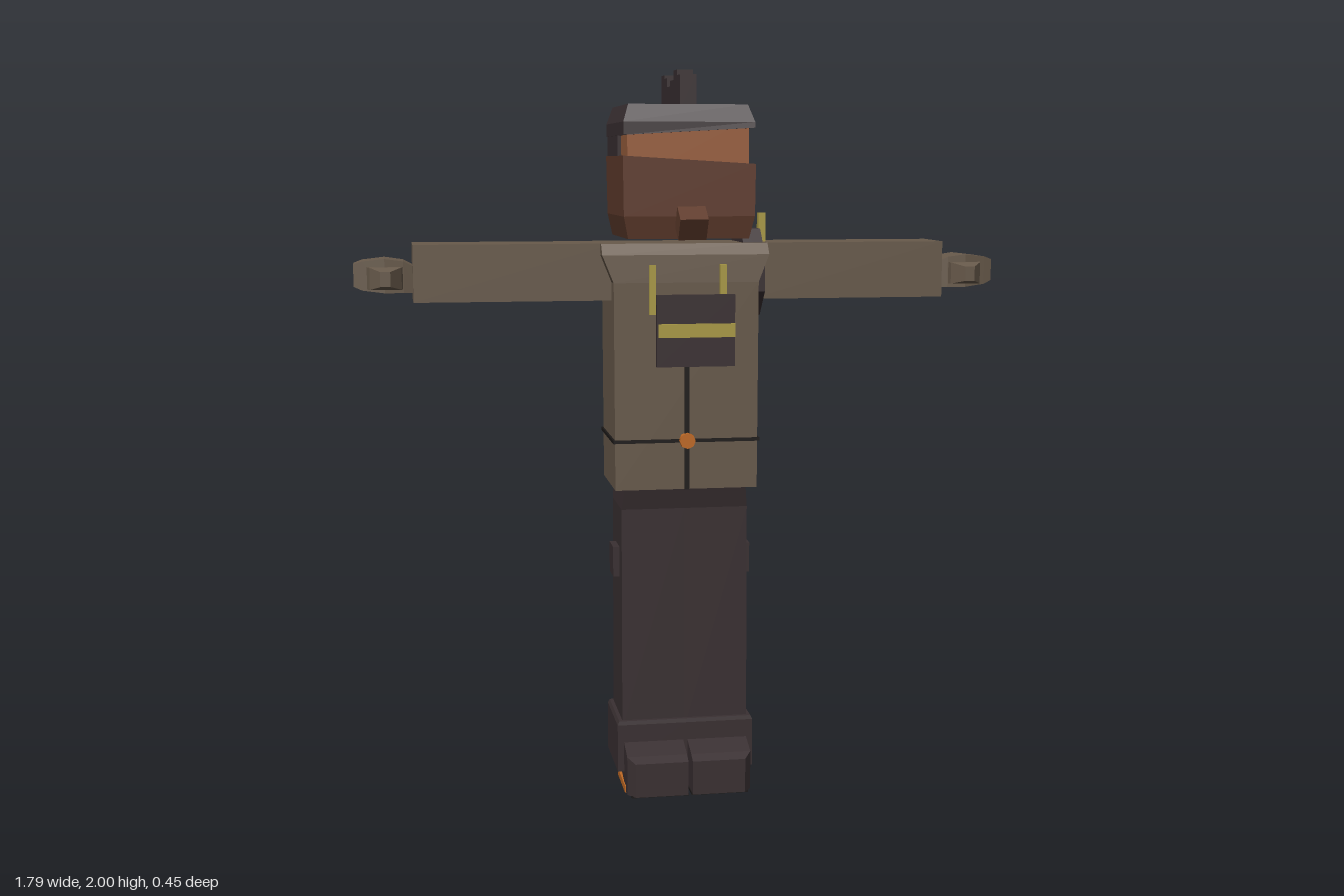
import * as THREE from 'three';

const mat = (name, color, extra = {}) =>
  Object.assign(new THREE.MeshStandardMaterial({ color, ...extra }), { name });

// Rectangular cross-sections [t, a0, a1, b0, b1] stacked along an axis.
// axis y: a = x, b = z.  axis x: a = z, b = y.  axis z: a = y, b = x.
function loft(rings, axis = 'y') {
  const place = {
    y: (t, a, b) => [a, t, b],
    x: (t, a, b) => [t, b, a],
    z: (t, a, b) => [b, a, t],
  }[axis];
  const corners = rings.map(([t, a0, a1, b0, b1]) =>
    [place(t, a0, b1), place(t, a1, b1), place(t, a1, b0), place(t, a0, b0)]);
  const pos = [];
  const quad = (a, b, c, d) => pos.push(...a, ...b, ...c, ...a, ...c, ...d);
  for (let i = 0; i + 1 < corners.length; i++) {
    const lo = corners[i], hi = corners[i + 1];
    for (let k = 0; k < 4; k++) {
      const n = (k + 1) % 4;
      quad(lo[k], lo[n], hi[n], hi[k]);
    }
  }
  const end = corners[corners.length - 1];
  quad(end[0], end[1], end[2], end[3]);
  const start = corners[0];
  quad(start[3], start[2], start[1], start[0]);
  const g = new THREE.BufferGeometry();
  g.setAttribute('position', new THREE.Float32BufferAttribute(pos, 3));
  g.computeVertexNormals();
  return g;
}

// Slope the vertices selected by a height test along x
function slant(g, test, slope) {
  const p = g.attributes.position;
  for (let i = 0; i < p.count; i++) {
    if (test(p.getY(i))) p.setY(i, p.getY(i) + slope * p.getX(i));
  }
  g.computeVertexNormals();
  return g;
}

// Box given by its limits
function block(x0, x1, y0, y1, z0, z1) {
  return new THREE.BoxGeometry(x1 - x0, y1 - y0, z1 - z0)
    .translate((x0 + x1) / 2, (y0 + y1) / 2, (z0 + z1) / 2);
}

export function createModel() {
  const model = new THREE.Group();
  model.name = 'figure';
  const shirt = mat('shirt brown', 0x685a4b);
  const dark = mat('charcoal', 0x3a3032, { flatShading: true });
  const skin = mat('skin', 0x9a5f3e);
  const beard = mat('beard brown', 0x603c2d);
  const yellow = mat('yellow', 0xaa9a45);
  const orange = mat('orange', 0xc06a25);
  const black = mat('black', 0x1c1918);

  const add = (name, geometry, material, parent = model) => {
    const m = new THREE.Mesh(geometry, material);
    m.name = name;
    parent.add(m);
    return m;
  };

  // Head: beard, face, hair and bevelled cap
  const head = new THREE.Group();
  head.name = 'head';
  model.add(head);
  add('beard', slant(loft([
    [1.55, -0.165, 0.165, -0.205, 0.13],
    [1.61, -0.178, 0.178, -0.21, 0.145],
    [1.76, -0.18, 0.18, -0.22, 0.145],
  ]), (y) => y > 1.7, -0.06), beard, head);
  add('face', block(-0.165, 0.165, 1.7, 1.87, -0.1, 0.122), skin, head);
  add('hair', block(-0.175, 0.175, 1.755, 1.86, -0.225, -0.002), dark, head);
  add('cap', slant(loft([
    [1.835, -0.178, 0.178, -0.225, 0.145],
    [1.86, -0.178, 0.178, -0.225, 0.142],
    [1.907, -0.162, 0.162, -0.21, 0.12],
  ]), (y) => y < 1.84, 0.055), dark, head);
  const chin = add('chinTuft', new THREE.BoxGeometry(0.076, 0.066, 0.062), beard, head);
  chin.position.set(0, 1.593, 0.178);
  chin.rotation.x = 0.58;

  // Crest of stepped blocks, front to back
  const crestZ = [0.12, 0.065, 0.01, -0.05, -0.105, -0.155, -0.21];
  [1.985, 2.0, 1.975, 1.96, 1.985, 1.995].forEach((top, i) =>
    add('crest', block(-0.022, 0.022, 1.89, top, crestZ[i + 1], crestZ[i]), dark, head));

  // Shirt with shoulders that flare out at the top
  add('torso', loft([
    [0.86, -0.198, 0.198, -0.168, 0.093],
    [1.43, -0.2, 0.2, -0.17, 0.095],
    [1.505, -0.23, 0.23, -0.17, 0.09],
    [1.535, -0.23, 0.23, -0.145, 0.065],
  ]), shirt);
  add('belt', block(-0.204, 0.204, 0.991, 1.0, -0.175, 0.1), black);
  add('zip', block(-0.006, 0.006, 0.86, 1.3, 0.094, 0.105), black);
  const buckle = add('buckle', new THREE.CylinderGeometry(0.022, 0.022, 0.02, 8), orange);
  buckle.position.set(0, 0.997, 0.106);
  buckle.rotation.x = Math.PI / 2;

  // Chest pouch on two straps
  add('pouch', block(-0.09, 0.125, 1.205, 1.4, 0.13, 0.145), dark);
  add('pouchStripe', block(-0.086, 0.125, 1.285, 1.322, 0.144, 0.152), yellow);
  add('strap', block(-0.106, -0.088, 1.345, 1.48, 0.112, 0.121), yellow);
  add('strap', block(0.088, 0.106, 1.39, 1.48, 0.112, 0.121), yellow);

  // Octagonal shoulder pad with two pegs, left side only
  const pad = add('shoulderPad', new THREE.CylinderGeometry(0.13, 0.13, 0.055, 8), dark);
  pad.rotation.set(Math.PI / 8, 0, Math.PI / 2);
  pad.position.set(0.193, 1.452, -0.04);
  for (const x of [0.19, 0.233])
    add('peg', block(x - 0.01, x + 0.01, 1.53, 1.615, -0.048, -0.026), yellow);

  for (const s of [-1, 1]) {
    const side = s > 0 ? 'left' : 'right';
    const span = (a, b) => (s > 0 ? [a, b] : [-b, -a]);

    // Arm held straight out, with a mitten hand and thumb
    add(side + 'Arm', block(...span(0.19, 0.735), 1.38, 1.535, -0.128, 0.045), shirt);
    const hand = [
      [0.72, -0.095, 0.01, 1.405, 1.47],
      [0.76, -0.1, 0.02, 1.405, 1.49],
      [0.81, -0.107, 0.025, 1.405, 1.497],
      [0.87, -0.108, 0.01, 1.412, 1.49],
      [0.893, -0.092, 0.003, 1.422, 1.482],
    ];
    add(side + 'Hand', loft(s > 0 ? hand
      : hand.map(([x, ...r]) => [-x, ...r]).reverse(), 'x'), shirt);
    add(side + 'Thumb', loft([
      [-0.01, 1.415, 1.475, ...span(0.755, 0.865)],
      [0.035, 1.415, 1.475, ...span(0.765, 0.85)],
      [0.073, 1.425, 1.465, ...span(0.795, 0.822)],
    ], 'z'), shirt);

    // Trouser leg, side pocket and cuff
    add(side + 'Leg', loft([
      [0.17, ...span(0, 0.178), -0.137, 0.062],
      [0.8, ...span(0, 0.177), -0.132, 0.06],
      [0.86, ...span(0, 0.17), -0.165, 0.075],
    ]), dark);
    add(side + 'Pocket', block(...span(0.17, 0.195), 0.6, 0.685, -0.07, 0.01), dark);
    add(side + 'Cuff', loft([
      [0.05, ...span(0, 0.193), -0.15, 0.075],
      [0.185, ...span(0, 0.193), -0.15, 0.075],
      [0.196, ...span(0, 0.188), -0.148, 0.073],
    ]), dark);

    // Shoe with a sloping toe, black sole and orange trim
    add(side + 'Shoe', loft([
      [-0.11, 0.004, 0.07, ...span(0.006, 0.165)],
      [0.075, 0.004, 0.135, ...span(0.006, 0.175)],
      [0.14, 0.004, 0.113, ...span(0.006, 0.175)],
      [0.168, 0.004, 0.1, ...span(0.006, 0.155)],
    ], 'z'), dark);
    add(side + 'Sole', block(...span(0.004, 0.165), 0, 0.006, -0.1, 0.16), black);
    add(side + 'SoleTrim', block(...span(0.165, 0.178), 0.001, 0.02, -0.042, 0.112), orange);
    add(side + 'HeelTrim', block(...span(0.02, 0.09), 0.001, 0.018, -0.113, -0.106), orange);
  }
  return model;
}
